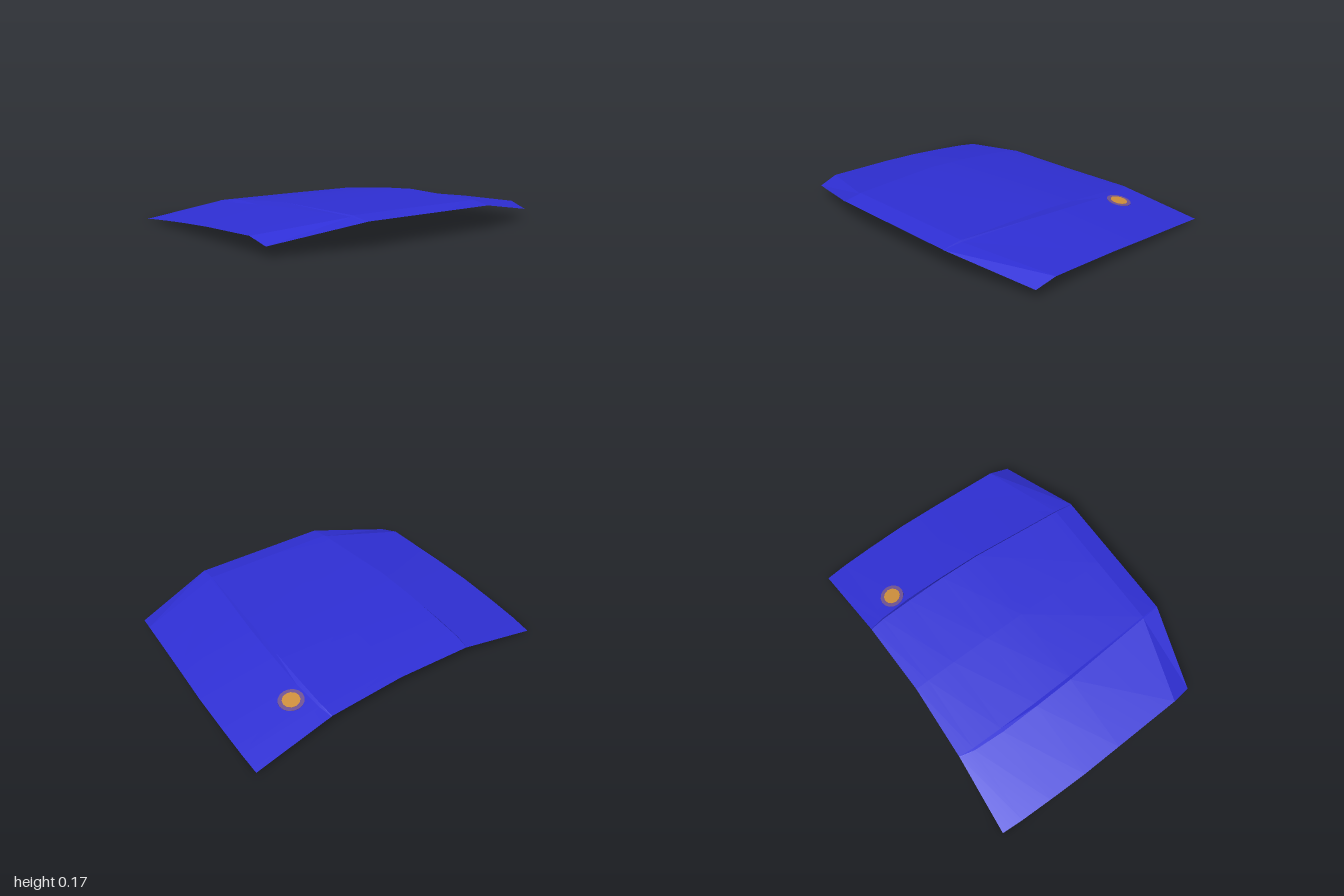
import * as THREE from 'three';
import { toCreasedNormals } from 'three/addons/utils/BufferGeometryUtils.js';

// Lengthwise guide lines, each running from the front lip to the rear edge: [x, y, z]
const CENTER = [[0, .15, .78], [0, .168, .66], [0, .167, .06], [0, .147, -.2], [0, .122, -.45], [0, .1, -.64], [0, .085, -.727]];
const RIDGE = [[.443, .15, .78], [.449, .167, .66], [.49, .165, .06], [.499, .145, -.2], [.501, .119, -.45], [.499, .097, -.65], [.49, .08, -.745]];
const CREASE = [[.447, .149, .78], [.457, .159, .66], [.505, .14, .06], [.516, .121, -.2], [.522, .1, -.45], [.512, .085, -.65], [.494, .078, -.745]];
const OUTER = [[.953, .06, .627], [.972, .095, .5], [.99, .077, .06], [1, .06, -.2], [1, .038, -.45], [.997, .018, -.65], [.99, 0, -.784]];

const mirror = (line) => line.map(([x, y, z]) => [-x, y, z]);

// Sheet stretched across guide lines given from -x to +x, facing up
function sheet(lines) {
  const rows = lines[0].length;
  const index = [];
  for (let c = 0; c < lines.length - 1; c++) {
    for (let r = 0; r < rows - 1; r++) {
      const a = c * rows + r, b = a + rows;
      index.push(a, b, b + 1, a, b + 1, a + 1);
    }
  }
  const geometry = new THREE.BufferGeometry();
  geometry.setAttribute('position', new THREE.Float32BufferAttribute(lines.flat(2), 3));
  geometry.setIndex(index);
  return toCreasedNormals(geometry, 0.12);
}

export function createModel() {
  const paint = new THREE.MeshStandardMaterial({ color: 0x2f2fd6, side: THREE.DoubleSide });
  paint.name = 'blue paint';
  const amber = new THREE.MeshStandardMaterial({ color: 0xd0903c });
  amber.name = 'amber';
  const mauve = new THREE.MeshStandardMaterial({ color: 0x6f5294 });
  mauve.name = 'mauve';

  const model = new THREE.Group();
  model.name = 'bonnet';
  const add = (name, geometry, material, parent = model) => {
    const mesh = new THREE.Mesh(geometry, material);
    mesh.name = name;
    parent.add(mesh);
    return mesh;
  };

  // Raised middle panel
  add('centerPanel', sheet([mirror(RIDGE), CENTER, RIDGE]), paint);

  // Step down from the middle panel, and the sloping side panels
  add('leftStep', sheet([RIDGE, CREASE]), paint);
  add('rightStep', sheet([mirror(CREASE), mirror(RIDGE)]), paint);
  add('leftPanel', sheet([CREASE, OUTER]), paint);
  add('rightPanel', sheet([mirror(OUTER), mirror(CREASE)]), paint);

  // Round spot lying in the left panel, showing on both faces
  const spot = new THREE.Group();
  spot.name = 'spot';
  spot.position.set(.605, .0825, -.52);
  spot.rotation.set(-.088, 0, -.132);
  add('spotHalo', new THREE.CylinderGeometry(.075, .075, .006, 16), mauve, spot);
  add('spotCenter', new THREE.CylinderGeometry(.052, .052, .009, 12), amber, spot);
  model.add(spot);

  return model;
}
